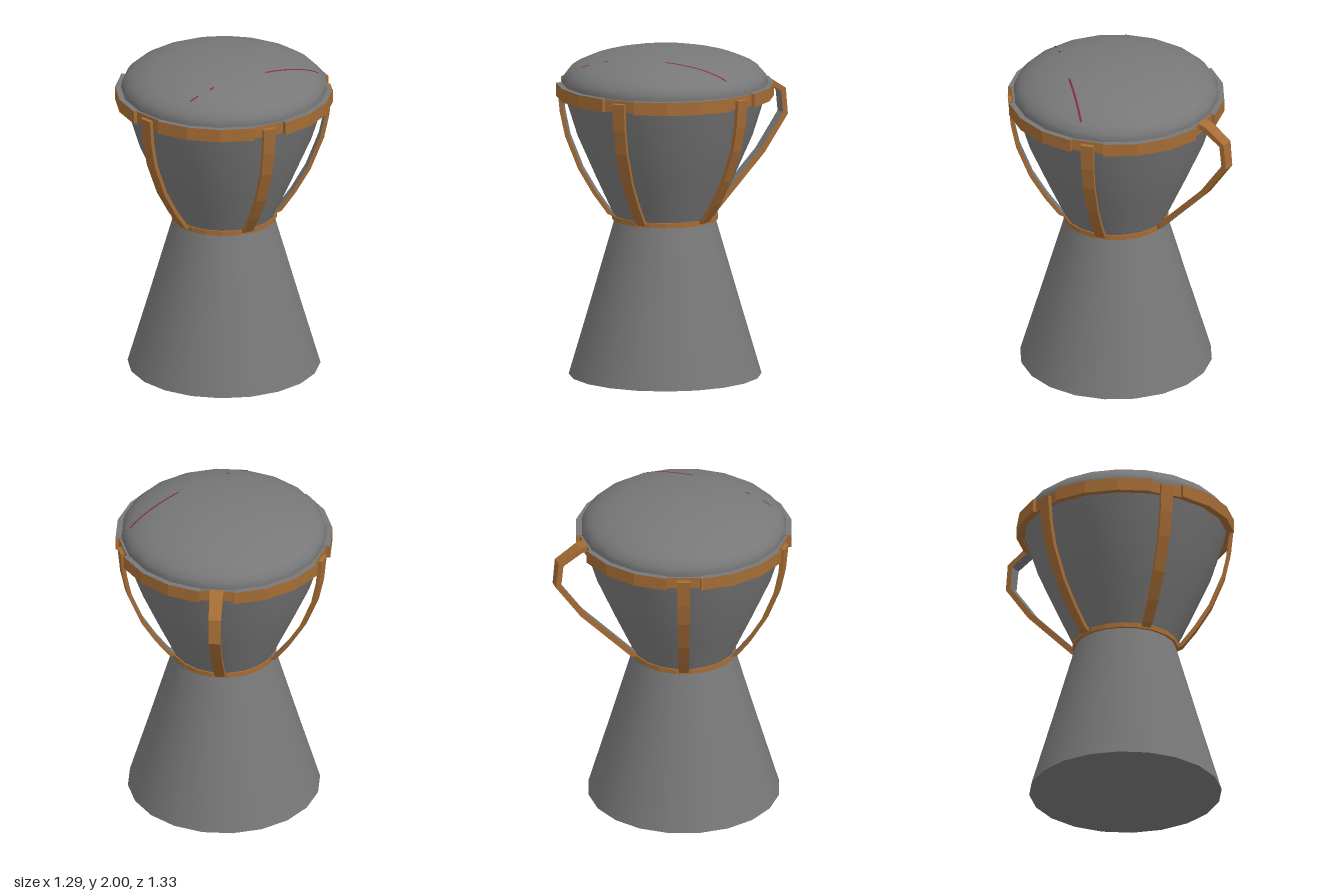
import * as THREE from 'three';

const SIDES = 20, STEP = Math.PI / 10, STRAPS = 5;
const TURN = (Math.PI * 2) / STRAPS;

// Loft through four-cornered sections; mats gives a material index per side (0..3).
function loft(sections, mats) {
  const pos = [], geo = new THREE.BufferGeometry();
  const quad = (a, b, c, d, mat) => {
    geo.addGroup(pos.length / 3, 6, mat);
    for (const p of [a, b, c, a, c, d]) pos.push(...p);
  };
  for (let i = 0; i < sections.length - 1; i++) {
    const c = sections[i], d = sections[i + 1];
    for (let j = 0; j < 4; j++) {
      const k = (j + 1) % 4;
      quad(c[j], c[k], d[k], d[j], mats[j]);
    }
  }
  const s = sections[0], e = sections[sections.length - 1];
  quad(s[3], s[2], s[1], s[0], 0);
  quad(e[0], e[1], e[2], e[3], 0);
  geo.setAttribute('position', new THREE.Float32BufferAttribute(pos, 3));
  geo.computeVertexNormals();
  return geo;
}

// Rectangular band around the drum, faceted every STEP; its top face takes material 1.
function bandGeometry(rIn, rOut, y0, y1, start, count) {
  const sections = [];
  for (let i = 0; i <= count; i++) {
    const a = start + i * STEP, s = Math.sin(a), c = Math.cos(a);
    sections.push([[rOut, y1], [rOut, y0], [rIn, y0], [rIn, y1]].map(([r, y]) => [r * s, y, r * c]));
  }
  return loft(sections, [0, 0, 0, 1]);
}

// Flat strap facing +z along an outer (radius, y) path running downward; inner face takes material 1.
function strapGeometry(path, wTop, wBottom, thick) {
  const n = path.length - 1;
  const sections = path.map(([r, y], i) => {
    const p = path[Math.max(i - 1, 0)], q = path[Math.min(i + 1, n)];
    const dr = q[0] - p[0], dy = q[1] - p[1], len = Math.hypot(dr, dy);
    const ri = r + (dy / len) * thick, yi = y - (dr / len) * thick;
    const w = THREE.MathUtils.lerp(wTop, wBottom, i / n) / 2;
    return [[w, y, r], [-w, y, r], [-w, yi, ri], [w, yi, ri]];
  });
  return loft(sections, [0, 0, 1, 0]);
}

const domeY = (r) => 1.8 + 0.2 * Math.sqrt(Math.max(0, 1 - (r / 0.617) ** 2));

export function createModel() {
  const grey = new THREE.MeshStandardMaterial({ color: 0x787878 });
  grey.name = 'grey shell';
  const brown = new THREE.MeshStandardMaterial({ color: 0xa56c35 });
  brown.name = 'brown leather';
  const red = new THREE.MeshStandardMaterial({ color: 0x84283c });
  red.name = 'dark red';

  const model = new THREE.Group();
  model.name = 'handDrum';
  const drum = new THREE.Group();
  drum.name = 'drum';
  drum.position.z = 0.017;
  model.add(drum);

  const add = (name, geometry, material) => {
    const mesh = new THREE.Mesh(geometry, material);
    mesh.name = name;
    drum.add(mesh);
    return mesh;
  };
  const lathe = (name, points) => add(name, new THREE.LatheGeometry(
    points.map(([x, y]) => new THREE.Vector2(x, y)), SIDES, STEP / 2), grey);

  // Shell: underside, flared foot and bowl
  lathe('underside', [[0, 0], [0.1, 0.003], [0.578, 0.015]]);
  lathe('foot', [[0.578, 0.015], [0.45, 0.45], [0.3, 0.97]]);
  lathe('bowl', [[0.3, 0.97], [0.415, 1.22], [0.525, 1.47], [0.61, 1.74]]);

  // Domed drumhead
  const dome = [[0.612, 1.72], [0.617, 1.8]];
  for (let i = 1; i <= 9; i++) {
    const r = i === 9 ? 0 : 0.617 * Math.cos((i / 9) * Math.PI / 2);
    dome.push([r, domeY(r)]);
  }
  lathe('drumhead', dome);

  // Rim band with raised sections between the straps, and the neck ring
  add('rimBand', bandGeometry(0.605, 0.63, 1.715, 1.785, STEP / 2, SIDES), [brown, grey]);
  for (let k = 0; k < STRAPS; k++) {
    add('rimSection', bandGeometry(0.62, 0.653, 1.71, 1.79, STEP / 2 + k * TURN, 3), [brown, grey]);
  }
  add('neckRing', bandGeometry(0.29, 0.318, 0.96, 0.99, STEP / 2, SIDES), [brown, brown]);

  // Four straps and one bent carrying handle
  const strapPath = [[0.648, 1.765], [0.632, 1.6], [0.6, 1.45], [0.52, 1.25], [0.43, 1.1], [0.345, 0.985], [0.315, 0.97]];
  const handlePath = [[0.62, 1.79], [0.67, 1.775], [0.8, 1.69], [0.815, 1.53], [0.66, 1.31], [0.345, 0.985], [0.315, 0.97]];
  for (let k = 0; k < STRAPS; k++) {
    const isHandle = k === 2;
    const geometry = isHandle
      ? strapGeometry(handlePath, 0.085, 0.055, 0.035)
      : strapGeometry(strapPath, 0.08, 0.055, 0.024);
    add(isHandle ? 'handle' : 'strap', geometry, [brown, grey]).rotation.y = k * TURN;
  }

  // Thin red streaks lying on the drumhead
  const streaks = [[0.14, 0.287, 0.52, 0.23, 0.012], [-0.39, 0.353, -0.335, 0.347, 0.01], [-0.25, 0.332, -0.22, 0.327, 0.012]];
  for (const [x0, z0, x1, z1, width] of streaks) {
    const geometry = new THREE.PlaneGeometry(1, width, 12, 1).rotateX(-Math.PI / 2);
    const p = geometry.attributes.position;
    for (let i = 0; i < p.count; i++) {
      const t = p.getX(i) + 0.5;
      const x = x0 + (x1 - x0) * t, z = z0 + (z1 - z0) * t + p.getZ(i);
      p.setXYZ(i, x, domeY(Math.hypot(x, z)) + 0.002, z);
    }
    geometry.computeVertexNormals();
    add('headStreak', geometry, red);
  }
  return model;
}
